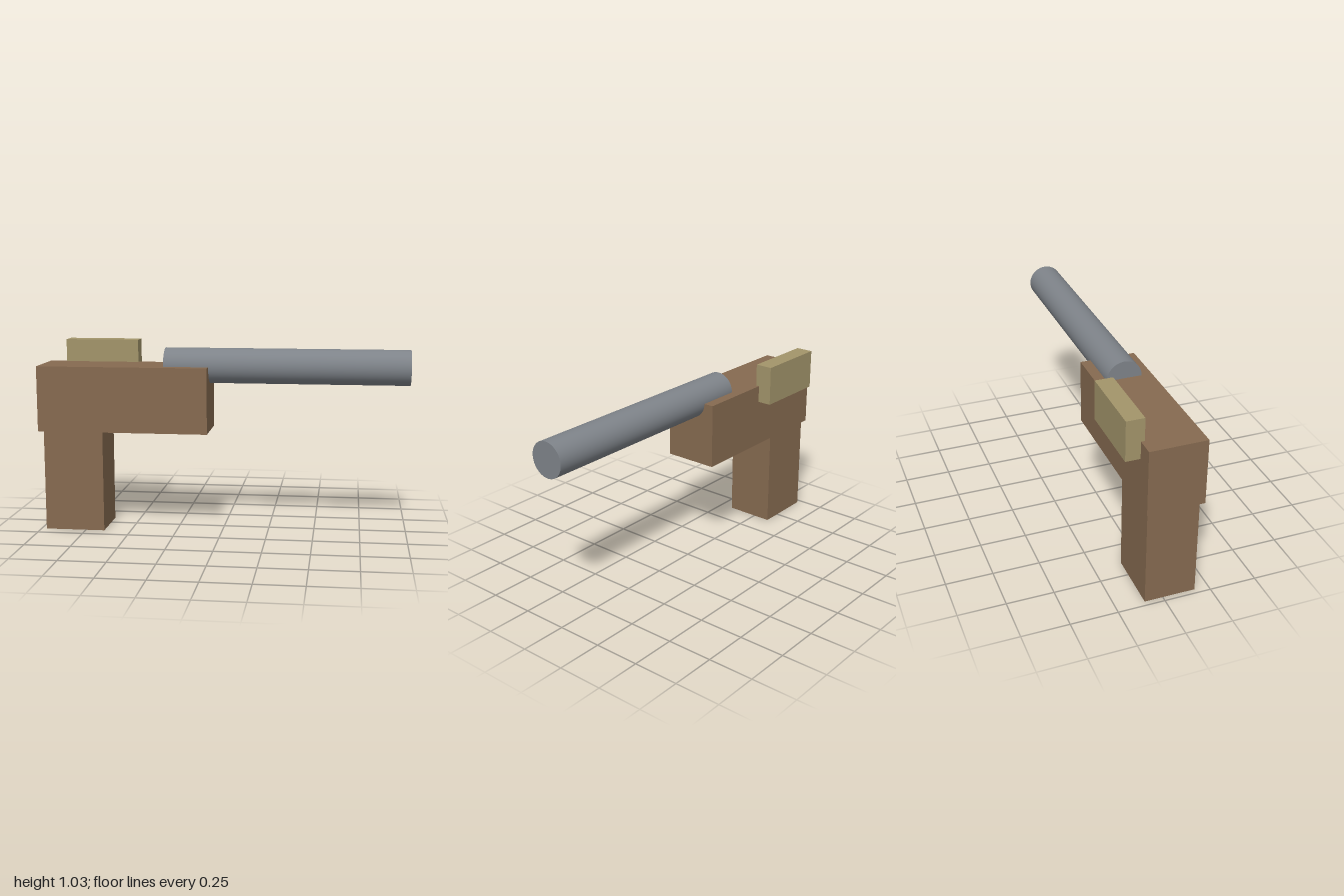
import * as THREE from 'three';

export function createModel() {
  const model = new THREE.Group();
  const material = (name, color) => {
    const m = new THREE.MeshStandardMaterial({ color });
    m.name = name;
    return m;
  };
  const brown = material('brown wood', 0x866a50);
  const grey = material('grey metal', 0x7e8389);
  const tan = material('tan', 0xa2946a);

  // Adds a box spanning the given ranges on each axis
  const addBox = (name, mat, [x0, x1], [y0, y1], [z0, z1]) => {
    const mesh = new THREE.Mesh(new THREE.BoxGeometry(x1 - x0, y1 - y0, z1 - z0), mat);
    mesh.position.set((x0 + x1) / 2, (y0 + y1) / 2, (z0 + z1) / 2);
    mesh.name = name;
    model.add(mesh);
  };

  addBox('body', brown, [-1, -0.072], [0.55, 0.905], [-0.112, 0.189]);
  addBox('grip', brown, [-0.972, -0.646], [0, 0.552], [-0.098, 0.174]);
  addBox('sidePlate', tan, [-0.905, -0.496], [0.811, 1.028], [-0.189, -0.093]);

  // Long round barrel, half sunk into the body
  const barrel = new THREE.Mesh(new THREE.CylinderGeometry(0.095, 0.095, 1.316, 48), grey);
  barrel.rotation.z = -Math.PI / 2;
  barrel.position.set(0.342, 0.906, 0.038);
  barrel.name = 'barrel';
  model.add(barrel);

  return model;
}
